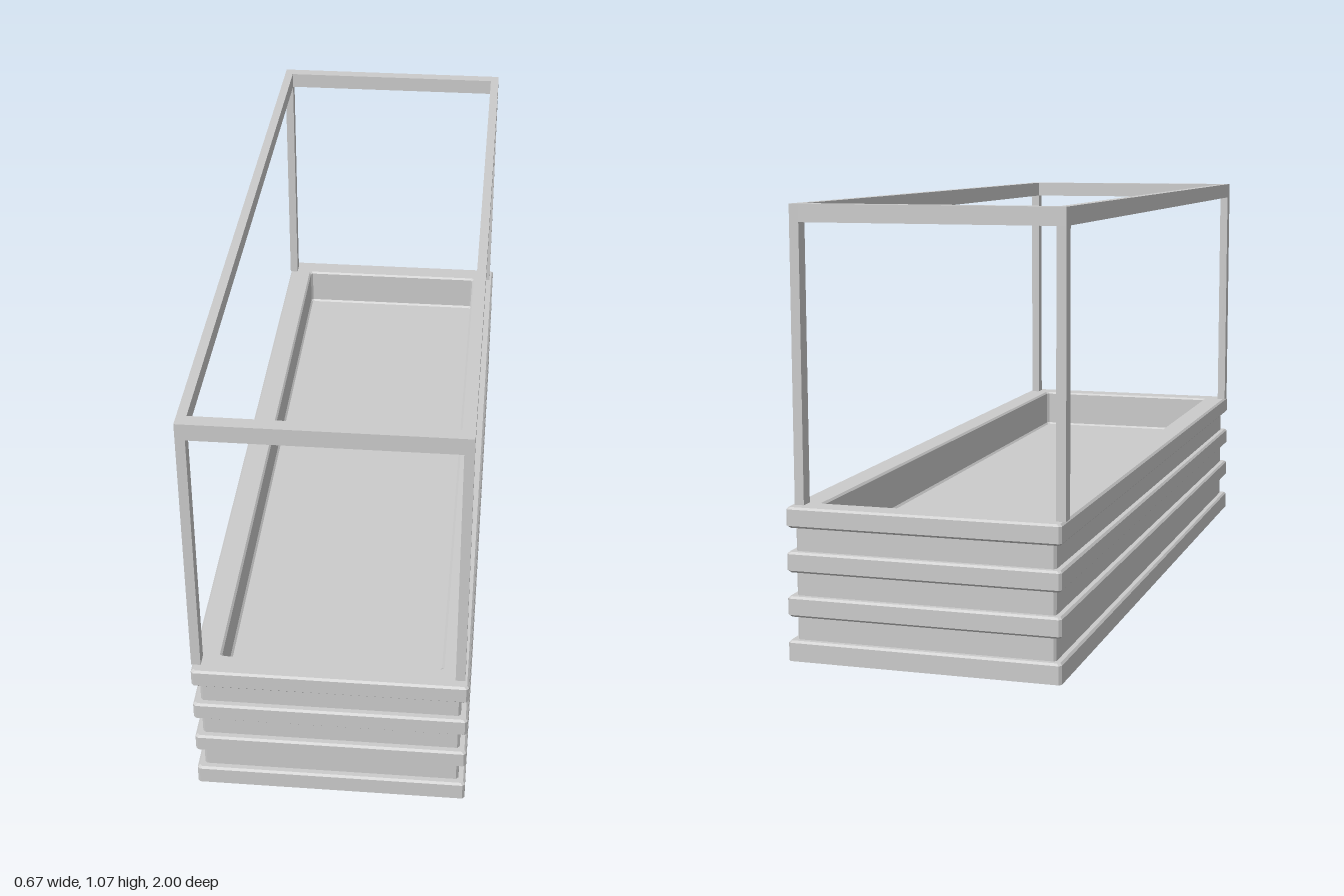
import * as THREE from 'three';

const frameMaterial = new THREE.MeshStandardMaterial({ color: 0xcccccc, flatShading: true });
const shellMaterial = new THREE.MeshStandardMaterial({
  color: 0xcccccc, flatShading: true, side: THREE.DoubleSide,
});

const HALF_X = 0.332, HALF_Z = 1;

// Corners of a horizontal rectangle with chamfered corners, shrunk by the inset
function ring(inset, y, c = 0.006) {
  const x = HALF_X - inset, z = HALF_Z - inset;
  return [
    [x, y, -z + c], [x, y, z - c], [x - c, y, z], [-x + c, y, z],
    [-x, y, z - c], [-x, y, -z + c], [-x + c, y, -z], [x - c, y, -z],
  ];
}

// Skin through the [inset, height] profile, closed by a flat floor at its end
function shellGeometry(profile) {
  const positions = profile.flatMap(([inset, y]) => ring(inset, y).flat());
  const index = [];
  const n = 8, rows = profile.length;
  for (let r = 0; r < rows - 1; r++) {
    for (let i = 0; i < n; i++) {
      const a = r * n + i, b = r * n + (i + 1) % n;
      index.push(a, a + n, b, b, a + n, b + n);
    }
  }
  const last = (rows - 1) * n, centre = rows * n;
  positions.push(0, profile[rows - 1][1], 0);
  for (let i = 0; i < n; i++) index.push(last + i, centre, last + (i + 1) % n);

  const indexed = new THREE.BufferGeometry();
  indexed.setAttribute('position', new THREE.Float32BufferAttribute(positions, 3));
  indexed.setIndex(index);
  const geometry = indexed.toNonIndexed();
  geometry.computeVertexNormals();
  return geometry;
}

function box(name, w, h, d, x, y, z) {
  const mesh = new THREE.Mesh(new THREE.BoxGeometry(w, h, d), frameMaterial);
  mesh.name = name;
  mesh.position.set(x, y, z);
  return mesh;
}

export function createModel() {
  const model = new THREE.Group();
  model.name = 'planterWithFrame';

  // Hollow ribbed walls: four raised bands with recesses between them
  const pitch = 0.106, tall = 0.049, recess = 0.017, bevel = 0.005;
  const profile = [[0, 0]];
  for (let i = 0; i < 4; i++) {
    const y0 = i * pitch, y1 = y0 + tall;
    if (i > 0) profile.push([recess, y0], [bevel, y0], [0, y0 + bevel]);
    profile.push([0, y1 - bevel], [bevel, y1]);
    if (i < 3) profile.push([recess, y1]);
  }
  // Flat rim, then the shallow tray hanging inside
  const rimY = 3 * pitch + tall, floorY = 0.26, tray = 0.066;
  profile.push(
    [tray - bevel, rimY], [tray, rimY - bevel],
    [tray, floorY + bevel], [tray + bevel, floorY],
  );
  const planter = new THREE.Mesh(shellGeometry(profile), shellMaterial);
  planter.name = 'planterBox';
  model.add(planter);

  // Open frame standing on the rim
  const frame = new THREE.Group();
  frame.name = 'frame';
  frame.position.set(-0.006, 0, 0.003);
  const hx = 0.328, hz = 0.972, tx = 0.023, tz = 0.034;
  const beamY = 1.023, topY = 1.065;
  for (const s of [-1, 1]) {
    for (const sz of [-1, 1]) {
      frame.add(box('post', tx, beamY - rimY, tz,
        s * (hx - tx / 2), (rimY + beamY) / 2, sz * (hz - tz / 2)));
    }
    frame.add(box('sideRail', tx, topY - beamY, 2 * hz,
      s * (hx - tx / 2), (beamY + topY) / 2, 0));
    frame.add(box('endRail', 2 * (hx - tx), topY - beamY, tz,
      0, (beamY + topY) / 2, s * (hz - tz / 2)));
  }
  model.add(frame);

  return model;
}
